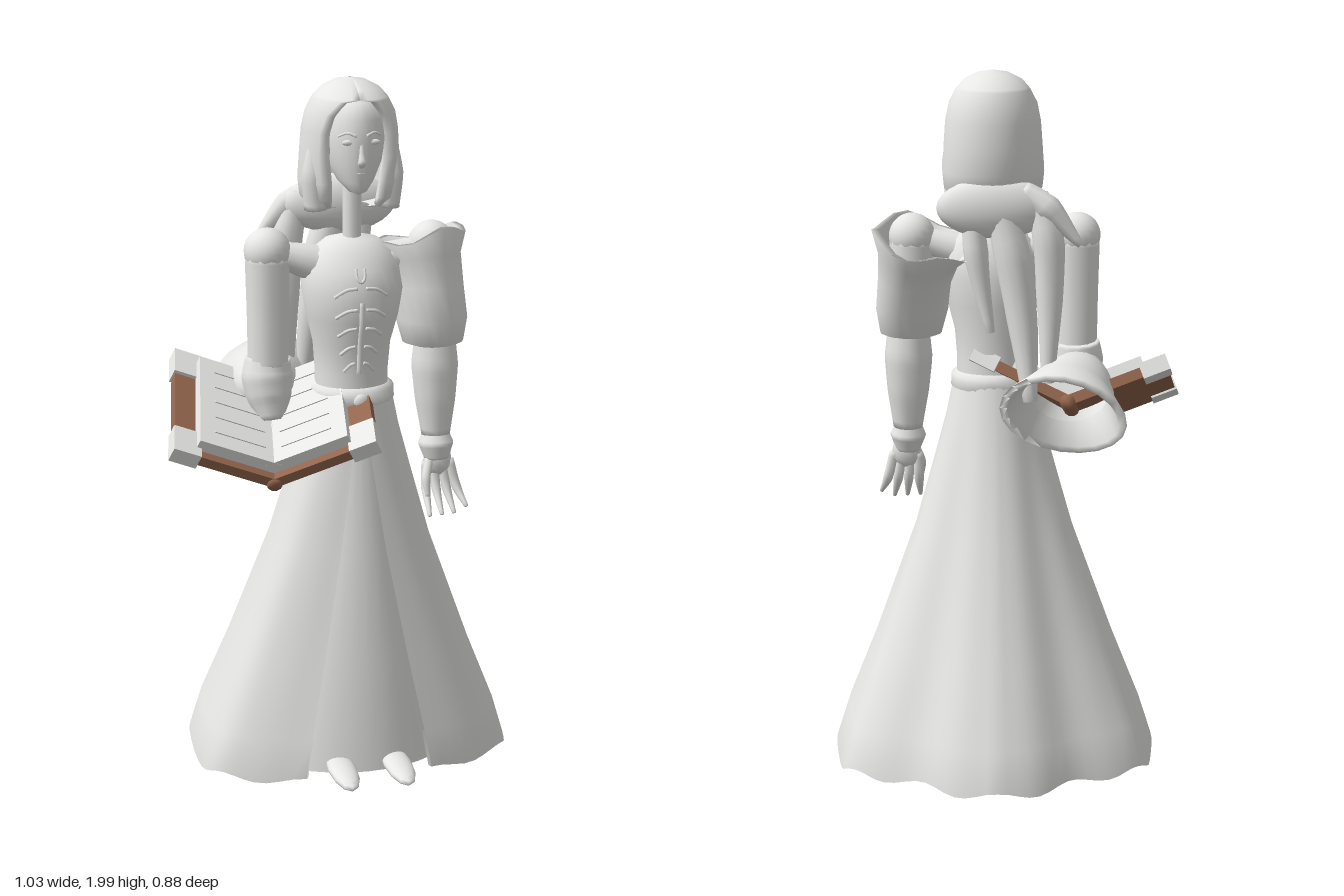
import * as THREE from 'three';

const V = (x, y, z) => new THREE.Vector3(x, y, z);
const CX = 0.05; // centre line of the figure

// Ring of points around c, spanned by the half axes A (sine) and B (cosine)
function ring(c, A, B, n = 20) {
  return Array.from({ length: n }, (_, i) => {
    const a = (i / n) * Math.PI * 2;
    return V(...c).addScaledVector(V(...A), Math.sin(a)).addScaledVector(V(...B), Math.cos(a));
  });
}
const flatRing = (x, y, z, rx, rz, n) => ring([x, y, z], [rx, 0, 0], [0, 0, rz], n);

// Skin over a list of equal-length rings
function loft(rings, closed = true) {
  const n = rings[0].length, pos = [], idx = [];
  rings.forEach(r => r.forEach(p => pos.push(p.x, p.y, p.z)));
  for (let j = 0; j < rings.length - 1; j++)
    for (let i = 0; i < (closed ? n : n - 1); i++) {
      const k = (i + 1) % n, a = j * n + i, b = j * n + k, c = a + n, d = b + n;
      idx.push(a, b, c, b, d, c);
    }
  const g = new THREE.BufferGeometry();
  g.setAttribute('position', new THREE.Float32BufferAttribute(pos, 3));
  g.setIndex(idx);
  g.computeVertexNormals();
  return g;
}

// Round limb or strand along points, with one radius for each point
function limb(points, radii, sides = 12) {
  const curve = new THREE.CatmullRomCurve3(points.map(p => V(...p)));
  const steps = points.length * 4, fr = curve.computeFrenetFrames(steps), rings = [];
  for (let j = 0; j <= steps; j++) {
    const f = (j / steps) * (radii.length - 1), k = Math.min(Math.floor(f), radii.length - 2);
    const r = THREE.MathUtils.lerp(radii[k], radii[k + 1], f - k), c = curve.getPoint(j / steps).toArray();
    const ax = v => v.clone().multiplyScalar(r).toArray(), full = ring(c, ax(fr.binormals[j]), ax(fr.normals[j]), sides);
    if (j === 0) rings.push(full.map(() => V(...c)));
    rings.push(full);
    if (j === steps) rings.push(full.map(() => V(...c)));
  }
  return loft(rings);
}

export function createModel() {
  const model = new THREE.Group();
  const grey = new THREE.MeshStandardMaterial({ color: 0xececea, side: THREE.DoubleSide });
  grey.name = 'stone grey';
  const brown = new THREE.MeshStandardMaterial({ color: 0x94664e, side: THREE.DoubleSide });
  brown.name = 'leather brown';

  function add(name, geo, mat = grey, parent = model) {
    const m = new THREE.Mesh(geo, mat);
    m.name = name;
    parent.add(m);
    return m;
  }
  function ball(name, x, y, z, rx, ry, rz, w = 20, h = 14) {
    const m = add(name, new THREE.SphereGeometry(1, w, h));
    m.position.set(x, y, z);
    m.scale.set(rx, ry, rz);
    return m;
  }

  // Overskirt: half hem outline from the front slit to the back, mirrored
  const hem = new THREE.CatmullRomCurve3([[0.185, 0.295], [0.33, 0.245], [0.43, 0.18], [0.465, 0.08], [0.455, -0.15],
    [0.43, -0.23], [0.35, -0.29], [0.23, -0.335], [0.12, -0.412], [0, -0.44]].map(p => V(p[0], 0, p[1])));
  const N = 36;
  const skirtRing = (y, s, inset = 0) => Array.from({ length: 2 * N + 1 }, (_, i) => {
    const side = i <= N ? 1 : -1, t = (i <= N ? i : 2 * N - i) / N, h = hem.getPoint(t), a = 0.04 + t * (Math.PI - 0.04);
    const x = THREE.MathUtils.lerp(0.112 * Math.sin(a), h.x, s) * (1 - inset);
    const z = THREE.MathUtils.lerp(0.045 + 0.122 * Math.cos(a), h.z, s) * (1 - inset);
    return V(CX + side * x, y + (s > 0.95 ? 0.01 * Math.cos(t * Math.PI * 10) : 0), z);
  });
  add('overskirt', loft([[1.13, 0], [1.02, 0.07], [0.9, 0.165], [0.68, 0.34], [0.35, 0.67], [0.14, 0.9], [0.023, 1], [0.023, 1, 0.035],
    [0.14, 0.9, 0.035]].map(r => skirtRing(...r)), false));
  add('underskirt', loft([[1.08, 0.09, 0.1, 0.045], [0.68, 0.17, 0.185, 0.02], [0.35, 0.25, 0.235, 0.015], [0.03, 0.32, 0.27, 0.01]]
    .map(([y, rx, rz, z]) => flatRing(CX, y, z, rx, rz, 36))));
  for (const s of [-1, 1]) ball('shoe', CX + s * 0.082, 0.055, 0.3, 0.041, 0.022, 0.136, 12, 10);

  // Bodice and belt
  const torso = [[1.1, 0.105, 0.1, 0.045], [1.18, 0.104, 0.098, 0.045], [1.26, 0.11, 0.104, 0.048], [1.34, 0.13, 0.12, 0.055],
    [1.42, 0.144, 0.128, 0.055], [1.48, 0.136, 0.11, 0.05], [1.525, 0.115, 0.085, 0.045], [1.555, 0.075, 0.06, 0.04], [1.57, 0.01, 0.01, 0.04]];
  add('bodice', loft(torso.map(([y, rx, rz, z]) => flatRing(CX, y, z, rx, rz, 28))));
  add('belt', loft([[1.09, 0.11, 0.108], [1.1, 0.122, 0.127], [1.135, 0.12, 0.125], [1.145, 0.1, 0.1]]
    .map(([y, rx, rz]) => flatRing(CX, y, 0.045, rx, rz, 28))));
  ball('buckle', CX, 1.115, 0.172, 0.022, 0.022, 0.012, 8, 6);

  // Braiding laid on the front of the bodice
  function onBodice(dx, y) {
    let k = 0;
    while (k < torso.length - 2 && torso[k + 1][0] < y) k++;
    const a = torso[k], b = torso[k + 1], t = (y - a[0]) / (b[0] - a[0]);
    const [rx, rz, z] = [1, 2, 3].map(i => THREE.MathUtils.lerp(a[i], b[i], t));
    return [CX + dx, y, z + rz * Math.sqrt(1 - (dx / rx) ** 2)];
  }
  const cord = (pts, r = 0.005) => limb(pts.map(p => onBodice(...p)), [r, r], 6);
  add('frontSeam', cord([[0, 1.19], [0, 1.27], [0, 1.34], [0, 1.4]], 0.007));
  add('throatClasp', cord([[-0.012, 1.49], [-0.01, 1.465], [0, 1.455], [0.01, 1.465], [0.012, 1.49]], 0.004));
  for (const s of [-1, 1])
    [[1.44, 0.075], [1.38, 0.07], [1.325, 0.062], [1.27, 0.052], [1.22, 0.042]].forEach(([y, w]) =>
      add('braid', cord([[s * 0.012, y], [s * w * 0.55, y - 0.004], [s * w, y - 0.025]])));

  // Head and face
  add('neck', limb([[CX, 1.54, 0.05], [CX, 1.64, 0.05], [CX, 1.74, 0.05]], [0.027, 0.027]));
  add('head', loft([[1.695, 0.004, 0.01, 0.125], [1.702, 0.024, 0.025, 0.122], [1.73, 0.05, 0.07, 0.088], [1.78, 0.076, 0.1, 0.066],
    [1.84, 0.088, 0.115, 0.055], [1.9, 0.085, 0.115, 0.05], [1.945, 0.065, 0.097, 0.045], [1.965, 0.01, 0.01, 0.045]]
    .map(([y, rx, rz, z]) => flatRing(CX, y, z, rx, rz, 24))));
  add('nose', limb([[CX, 1.84, 0.163], [CX, 1.81, 0.17], [CX, 1.787, 0.172], [CX, 1.778, 0.16]], [0.006, 0.008, 0.013, 0.008], 8));
  ball('upperLip', CX, 1.757, 0.15, 0.022, 0.006, 0.014, 10, 6);
  ball('lowerLip', CX, 1.746, 0.145, 0.018, 0.006, 0.014, 10, 6);
  for (const s of [-1, 1]) {
    ball('eye', CX + s * 0.036, 1.842, 0.157, 0.018, 0.008, 0.008, 10, 6);
    add('brow', limb([[CX + s * 0.014, 1.86, 0.166], [CX + s * 0.037, 1.868, 0.158], [CX + s * 0.06, 1.858, 0.142]], [0.005, 0.003], 6));
  }

  // Hair: shell left open around the face, with the front edge folded inward
  const hairRing = ([y, rx, rz, z, gap]) => Array.from({ length: 33 }, (_, i) => {
    const edge = i === 0 || i === 32, a = gap + (Math.min(Math.max(i - 1, 0), 30) / 30) * (Math.PI * 2 - 2 * gap);
    const k = edge ? 0.84 : 1;
    return V(CX + rx * k * Math.sin(a), y, z + rz * k * Math.cos(a));
  });
  add('hair', loft([[2, 0.004, 0.004, 0.02, 0], [1.993, 0.045, 0.05, 0.02, 0], [1.975, 0.08, 0.092, 0.023, 0], [1.953, 0.1, 0.122, 0.024, 0.02],
    [1.947, 0.105, 0.128, 0.024, 0.36], [1.91, 0.124, 0.141, 0.021, 0.62], [1.86, 0.134, 0.145, 0.016, 0.72], [1.79, 0.139, 0.143, 0.012, 0.7],
    [1.72, 0.143, 0.135, 0.008, 0.6], [1.675, 0.138, 0.12, 0.008, 0.6], [1.648, 0.115, 0.095, 0.005, 0.7], [1.64, 0.06, 0.05, 0, 0.8]].map(hairRing), false));
  for (const s of [-1, 1])
    add('sideLock', limb([[CX + s * 0.108, 1.84, 0.06], [CX + s * 0.11, 1.74, 0.06], [CX + s * 0.1, 1.645, 0.05]], [0.015, 0.034, 0.036]));
  ball('hairKnot', 0.045, 1.63, -0.085, 0.165, 0.085, 0.055);
  add('longTress', limb([[0.04, 1.66, -0.09], [0, 1.5, -0.1], [-0.03, 1.3, -0.11], [-0.05, 1.09, -0.14]], [0.04, 0.052, 0.042, 0.02]));
  add('sideTress', limb([[-0.07, 1.67, -0.09], [-0.1, 1.55, -0.1], [-0.105, 1.38, -0.1], [-0.1, 1.14, -0.12]], [0.03, 0.045, 0.038, 0.018]));
  add('shortTress', limb([[0.11, 1.65, -0.08], [0.1, 1.5, -0.09], [0.06, 1.28, -0.1]], [0.03, 0.035, 0.012]));
  add('ribbon', limb([[-0.03, 1.68, -0.095], [-0.1, 1.63, -0.105], [-0.19, 1.53, -0.12]], [0.025, 0.038, 0.01], 8));

  // Left arm hanging down
  ball('leftShoulder', 0.28, 1.53, 0.05, 0.066, 0.066, 0.066);
  add('leftShoulderBridge', limb([[0.1, 1.48, 0.045], [0.18, 1.5, 0.048], [0.28, 1.53, 0.05]], [0.055, 0.045, 0.03]));
  add('leftUpperArm', limb([[0.28, 1.53, 0.05], [0.285, 1.38, 0.05], [0.29, 1.24, 0.05]], [0.064, 0.06, 0.058]));
  add('leftForearm', limb([[0.293, 1.28, 0.052], [0.294, 1.18, 0.052], [0.296, 1.08, 0.054], [0.298, 0.97, 0.058]], [0.058, 0.069, 0.06, 0.042]));
  add('leftCuff', limb([[0.298, 0.985, 0.058], [0.298, 0.945, 0.062], [0.3, 0.9, 0.066]], [0.036, 0.052, 0.036]));
  ball('leftPalm', 0.303, 0.895, 0.062, 0.042, 0.05, 0.026, 12, 8);
  for (let i = 0; i < 4; i++) {
    const x = 0.27 + i * 0.023, tip = 0.265 + i * 0.038;
    add('leftFinger', limb([[x, 0.89, 0.06], [(x + tip) / 2, 0.81, 0.072], [tip, 0.745 + (i === 3 ? 0.015 : 0), 0.13 - i * 0.006]], [0.014, 0.014, 0.006], 8));
  }
  add('leftThumb', limb([[0.275, 0.9, 0.075], [0.26, 0.85, 0.1], [0.262, 0.8, 0.115]], [0.013, 0.013, 0.006], 8));

  // Flared sleeves, each an outer wall folded back into an inner wall
  const wavy = r => r.map((p, i) => p.add(V(0, 0.014 * Math.cos((i / r.length) * Math.PI * 8 - 1.5), 0)));
  add('leftPuffSleeve', loft([
    ring([0.288, 1.24, 0.053], [0.06, 0, 0], [0, 0, 0.055]), ring([0.286, 1.25, 0.053], [0.088, 0, 0], [0, 0, 0.078]),
    ring([0.282, 1.32, 0.048], [0.103, 0, 0], [0, 0, 0.106]), ring([0.272, 1.41, 0.02], [0.106, 0, 0], [0, 0.01, 0.13]),
    ring([0.26, 1.48, -0.005], [0.115, 0.01, 0], [0, 0.03, 0.14]), wavy(ring([0.248, 1.535, -0.025], [0.145, 0.025, 0], [0, 0.035, 0.17])),
    wavy(ring([0.248, 1.535, -0.025], [0.125, 0.025, 0], [0, 0.035, 0.15])), ring([0.27, 1.42, 0.01], [0.09, 0, 0], [0, 0.02, 0.115])]));
  const curled = r => r.map((p, i) => p.add(V(0, 0, -0.025 * Math.sin((i / r.length) * Math.PI * 2) ** 2)));
  add('rightBellSleeve', loft([
    ring([-0.19, 1.13, 0.05], [0.06, 0, 0], [0, 0.05, 0]), ring([-0.19, 1.125, 0], [0.085, 0, 0], [0, 0.08, 0]),
    ring([-0.175, 1.105, -0.07], [0.115, 0, 0], [0, 0.11, -0.03]), ring([-0.155, 1.085, -0.13], [0.135, 0.015, 0], [0, 0.125, -0.065]),
    curled(ring([-0.14, 1.06, -0.175], [0.178, 0.025, 0.01], [0, 0.138, -0.112])),
    curled(ring([-0.14, 1.06, -0.175], [0.156, 0.025, 0.01], [0, 0.116, -0.097])), ring([-0.165, 1.1, -0.09], [0.11, 0, 0], [0, 0.09, -0.035])]));

  // Right arm bent to hold the book
  ball('rightShoulder', -0.19, 1.53, 0.05, 0.066, 0.066, 0.066);
  add('rightShoulderBridge', limb([[0, 1.47, 0.045], [-0.09, 1.5, 0.048], [-0.19, 1.53, 0.05]], [0.06, 0.048, 0.03]));
  add('rightUpperArm', limb([[-0.19, 1.53, 0.05], [-0.19, 1.36, 0.05], [-0.19, 1.19, 0.05]], [0.064, 0.06, 0.058]));
  add('rightForearm', limb([[-0.19, 1.225, 0.04], [-0.193, 1.17, 0.045], [-0.19, 1.11, 0.06], [-0.187, 1.05, 0.085]], [0.064, 0.074, 0.064, 0.035]));
  ball('rightHand', -0.185, 1.01, 0.1, 0.04, 0.04, 0.045, 12, 8);

  // Open book: each half is laid out along its own page direction
  const spine = V(-0.215, 0.905, 0.258), along = V(0.06, 0.17, -0.39), L = along.length();
  for (const [name, out] of [['rightBookHalf', V(-0.285, 0.11, 0)], ['leftBookHalf', V(0.272, 0.12, 0.088)]]) {
    const half = new THREE.Group(), W = out.length();
    half.name = name;
    const u = out.clone().normalize(), n = u.clone().cross(along).normalize();
    if (n.y < 0) n.negate();
    half.applyMatrix4(new THREE.Matrix4().makeBasis(u, n, u.clone().cross(n)));
    half.position.copy(spine).addScaledVector(along, 0.5);
    const block = (label, mat, x, y, z, w, h, d) => add(label, new THREE.BoxGeometry(w, h, d), mat, half).position.set(x, y, z);
    block('cover', brown, W / 2, 0.015, 0, W, 0.03, L - 0.01);
    block('pages', grey, 0.122, 0.045, 0, 0.244, 0.04, L - 0.06);
    for (const s of [-1, 1]) block('cornerGuard', grey, W - 0.035, 0.017, s * (L / 2 - 0.045), 0.08, 0.046, 0.1);
    for (let i = 0; i < 5; i++) block('pageLine', grey, 0.125, 0.066, -0.13 + i * 0.065, 0.15, 0.004, 0.005);
    model.add(half);
  }
  add('bookSpine', limb([0, 0.5, 1].map(t => spine.clone().addScaledVector(along, t).add(V(0, 0.012, 0)).toArray()), [0.022, 0.022], 10), brown);
  return model;
}
